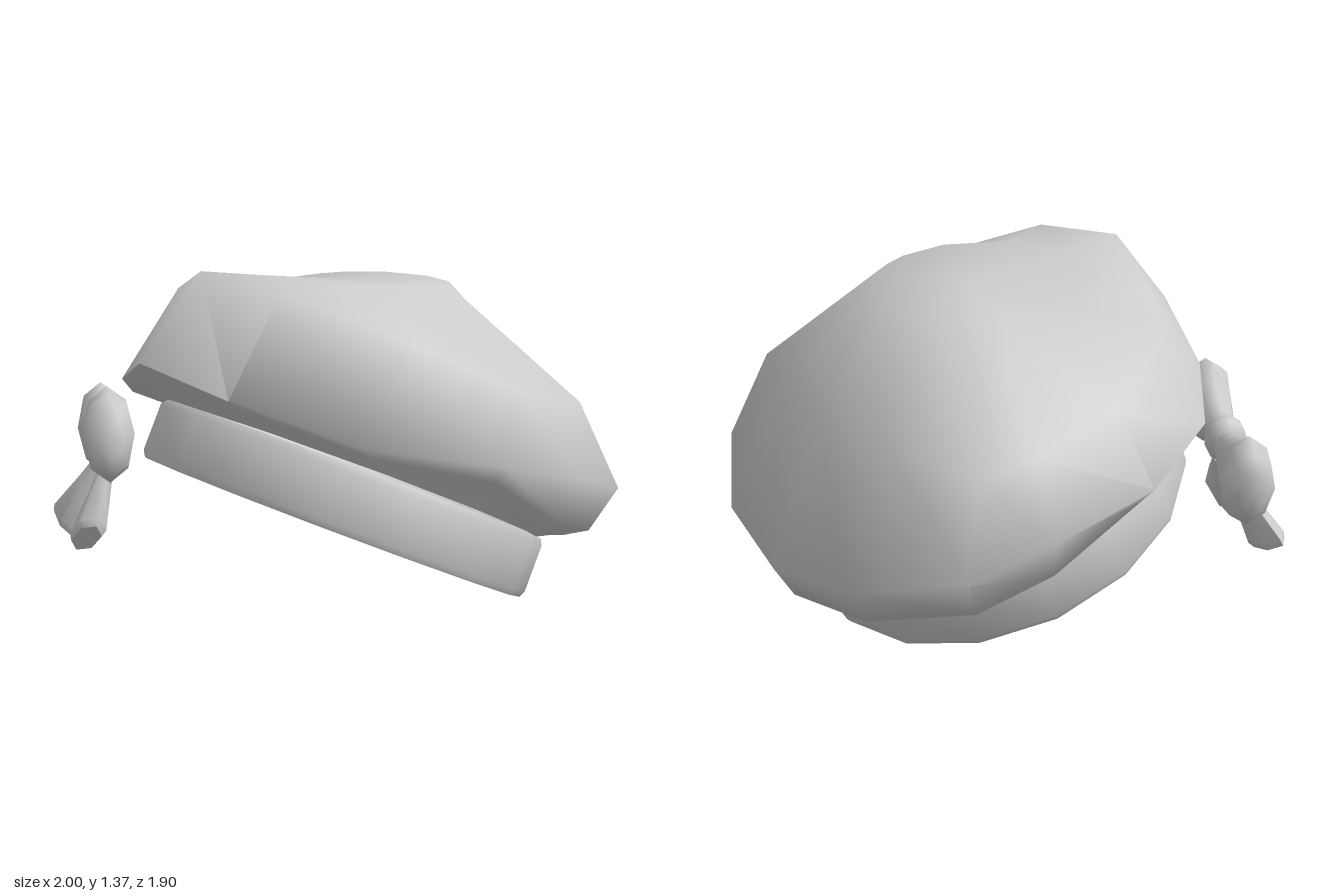
import * as THREE from 'three';
import { toCreasedNormals } from 'three/addons/utils/BufferGeometryUtils.js';

const V = (x, y, z) => new THREE.Vector3(x, y, z);

// Skin a list of equal-length closed rings; a cap closes the ring to its centre.
function loft(rings, capStart, capEnd, crease) {
  const all = [...rings];
  const collapse = (r) => {
    const c = r.reduce((s, p) => s.add(p), V(0, 0, 0)).divideScalar(r.length);
    return r.map(() => c);
  };
  if (capStart) all.unshift(collapse(rings[0]));
  if (capEnd) all.push(collapse(rings[rings.length - 1]));
  const n = rings[0].length, index = [];
  for (let i = 0; i < all.length - 1; i++) {
    for (let j = 0; j < n; j++) {
      const a = i * n + j, b = i * n + (j + 1) % n, c = a + n, d = b + n;
      if (!(capStart && i === 0)) index.push(a, b, c);
      if (!(capEnd && i === all.length - 2)) index.push(b, d, c);
    }
  }
  const g = new THREE.BufferGeometry().setFromPoints(all.flat());
  g.setIndex(index);
  return toCreasedNormals(g, crease);
}

// Elliptical ring round an axis, spanned by a width and a depth vector.
function ellipse(centre, w, n, sides) {
  return Array.from({ length: sides }, (_, i) => {
    const a = (i / sides) * Math.PI * 2;
    return centre.clone().addScaledVector(w, Math.cos(a)).addScaledVector(n, Math.sin(a));
  });
}

export function createModel() {
  const model = new THREE.Group();
  const cloth = new THREE.MeshStandardMaterial({ color: 0xcccccc, side: THREE.DoubleSide });
  cloth.name = 'grey cloth';
  const add = (parent, name, geometry) => {
    const mesh = new THREE.Mesh(geometry, cloth);
    mesh.name = name;
    parent.add(mesh);
    return mesh;
  };

  // Head band: a thin tilted hoop with softened edges
  const profile = [[0.828, 0.005], [0.838, 0], [0.85, 0.025], [0.85, 0.215], [0.838, 0.24],
    [0.828, 0.235], [0.822, 0.215], [0.822, 0.025], [0.828, 0.005]].map((p) => new THREE.Vector2(...p));
  const hoop = new THREE.LatheGeometry(profile, 16);
  hoop.scale(0.98, 1, 0.78 / 0.85);
  const band = add(model, 'headBand', toCreasedNormals(hoop, 1.3));
  band.position.set(0.03, 0.325, 0.07);
  band.rotation.set(-0.44, 0, -0.02);

  // Crown: widest rim and shoulder, from the front round by the left side
  const rim = [[-0.03, 1.06, 0.88], [0.36, 0.97, 0.76], [0.72, 0.82, 0.44], [1, 0.75, 0.04],
    [0.93, 0.62, -0.4], [0.86, 0.53, -0.68], [0.5, 0.38, -0.88], [0.04, 0.32, -0.95],
    [-0.4, 0.38, -0.89], [-0.85, 0.54, -0.68], [-0.91, 0.63, -0.35], [-0.96, 0.75, 0.04],
    [-0.69, 0.8, 0.52], [-0.43, 0.92, 0.72]].map((p) => V(...p));
  const shoulder = [[-0.03, 1.37, 0.61], [0.37, 1.33, 0.54], [0.71, 1.17, 0.22], [0.86, 0.97, -0.16],
    [0.84, 0.9, -0.38], [0.78, 0.87, -0.54], [0.4, 0.88, -0.68], [0.03, 0.87, -0.73],
    [-0.36, 0.88, -0.69], [-0.75, 0.86, -0.56], [-0.8, 0.91, -0.36], [-0.8, 1.0, 0.0],
    [-0.63, 1.17, 0.35], [-0.36, 1.26, 0.5]].map((p) => V(...p));
  const top = shoulder.map((p) => {
    const a = Math.atan2(p.x, p.z), c = Math.cos(a), s = Math.sin(a);
    return V(0.42 * s, 1.305 + 0.035 * c + (0.06 + 0.05 * c) * Math.min(0, s), -0.04 + 0.39 * c);
  });
  // Underside: a drooping overhang running in to the top of the band
  const seam = rim.map((p) => {
    const a = Math.atan2(p.x, p.z + 0.03);
    return V(0.03 + 0.81 * Math.sin(a), 0.535 + 0.325 * Math.cos(a), -0.03 + 0.67 * Math.cos(a));
  });
  const overhang = rim.map((p, i) => {
    const q = p.clone().lerp(seam[i], 0.35);
    q.y -= 0.1 * Math.min(1, Math.max(0, -p.z / 0.4));
    return q;
  });
  add(model, 'crown', loft([seam, overhang, rim, shoulder, top], false, true, 1.4));

  // Bow: two puffed loops, a knot and two flaring tails
  const bow = new THREE.Group();
  bow.name = 'bow';
  model.add(bow);
  const loops = new THREE.Group();
  loops.name = 'bowLoops';
  loops.position.set(-0.625, 0.675, 0.69);
  loops.rotation.set(0, -0.474, 0.17);
  bow.add(loops);
  const sections = [[0.03, 0.055, 0.05], [0.1, 0.08, 0.065], [0.2, 0.135, 0.085],
    [0.28, 0.185, 0.1], [0.36, 0.155, 0.095], [0.4, 0.09, 0.055]];
  const loopGeometry = loft(sections.map(([x, h, d]) =>
    ellipse(V(x, 0, 0), V(0, h, 0), V(0, 0, d), 8)), true, true, 1.4);
  add(loops, 'leftLoop', loopGeometry);
  add(loops, 'rightLoop', loopGeometry).rotation.y = Math.PI;
  add(loops, 'knot', new THREE.SphereGeometry(0.075, 10, 8)).scale.set(0.95, 1.3, 1.1);

  const tail = (name, from, to, width) => {
    const axis = to.clone().sub(from).normalize();
    const w = width.clone().addScaledVector(axis, -width.dot(axis)).normalize();
    const n = axis.clone().cross(w);
    const rings = [[0, 0.025, 0.02], [0.5, 0.07, 0.04], [0.93, 0.12, 0.062], [1, 0.115, 0.05]]
      .map(([t, a, b]) => ellipse(from.clone().lerp(to, t),
        w.clone().multiplyScalar(a), n.clone().multiplyScalar(b), 6));
    add(bow, name, loft(rings, true, true, 0.8));
  };
  tail('leftTail', V(-0.61, 0.6, 0.67), V(-0.41, 0.32, 0.91), V(0.85, 0.35, 0.2));
  tail('rightTail', V(-0.66, 0.6, 0.65), V(-0.81, 0.275, 0.78), V(0.85, -0.4, 0.3));

  return model;
}
